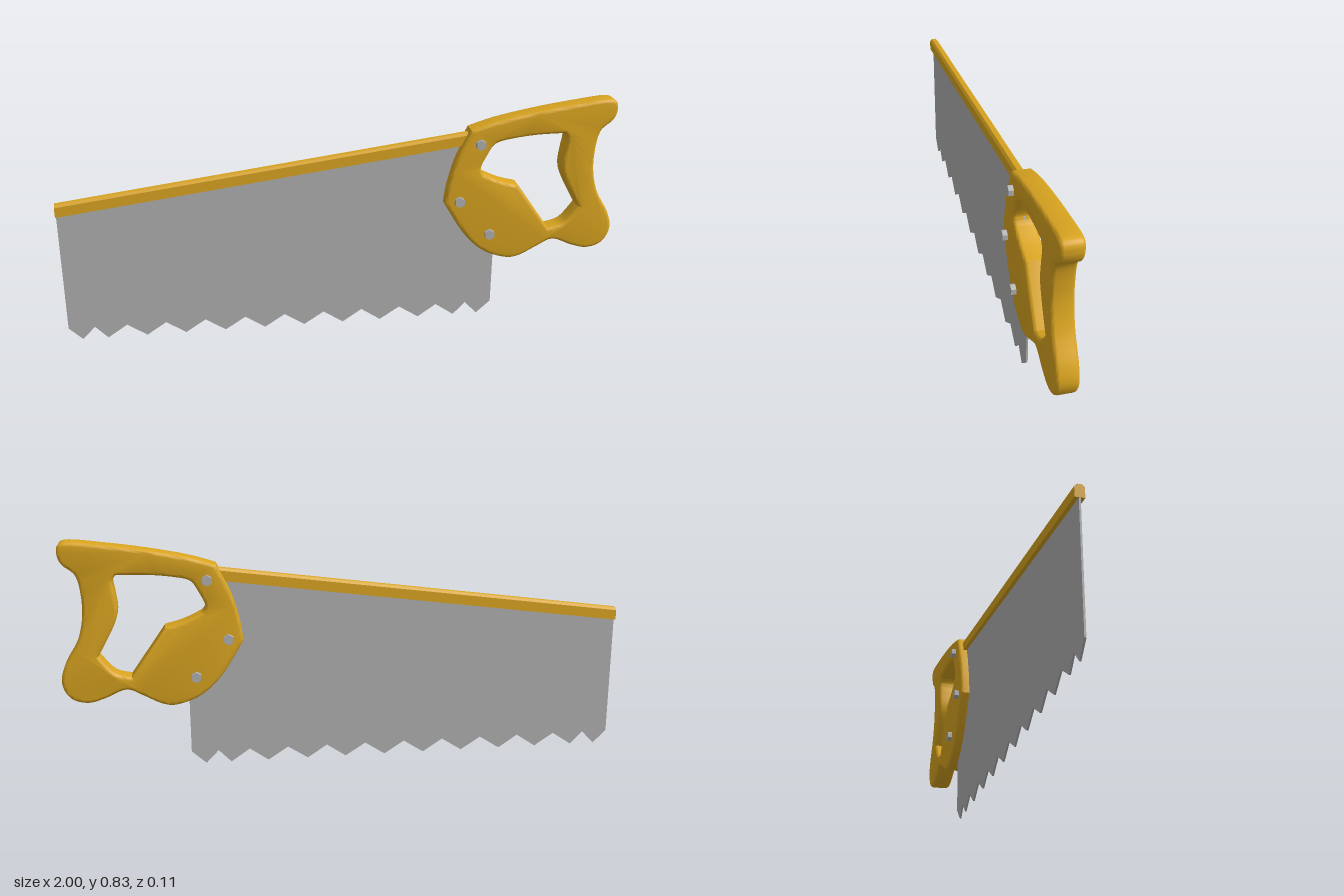
import * as THREE from 'three';
import { toCreasedNormals } from 'three/addons/utils/BufferGeometryUtils.js';

// Closed outline from smooth runs; the ends of each run are sharp corners.
function outline(path, runs) {
  path.moveTo(...runs[0][0]);
  for (const run of runs) {
    if (run.length === 2) path.lineTo(...run[1]);
    else path.splineThru(run.slice(1).map(([x, y]) => new THREE.Vector2(x, y)));
  }
  return path;
}

export function createModel() {
  const group = new THREE.Group();
  const golden = new THREE.MeshStandardMaterial({ name: 'golden wood', color: 0xdaa520 });
  const steel = new THREE.MeshStandardMaterial({ name: 'grey steel', color: 0xb0b0b0 });
  const add = (name, geometry, material) => {
    const mesh = new THREE.Mesh(geometry, material);
    mesh.name = name;
    group.add(mesh);
    return mesh;
  };

  // Blade: thin plate with finer teeth at both ends
  const tips = [-0.95, -0.86, -0.72, -0.58, -0.435, -0.29, -0.145, 0, 0.14, 0.285, 0.42, 0.51];
  const blade = new THREE.Shape();
  blade.moveTo(-0.998, 0.5);
  blade.lineTo(-0.998, 0.05);
  tips.forEach((x, i) => {
    blade.lineTo(x, 0.003);
    blade.lineTo(i < tips.length - 1 ? (x + tips[i + 1]) / 2 : 0.562, 0.05);
  });
  blade.lineTo(0.562, 0.4);
  blade.lineTo(0.46, 0.69);
  const bladeGeo = new THREE.ExtrudeGeometry(blade, { depth: 0.006, bevelEnabled: false });
  bladeGeo.translate(0, -0.003, -0.003);
  add('blade', bladeGeo, steel);

  // Spine: bevelled strip along the sloping back of the blade
  const section = new THREE.Shape([
    [-0.016, 0], [0.016, 0], [0.016, 0.036], [0.008, 0.045], [-0.008, 0.045], [-0.016, 0.036],
  ].map(([z, y]) => new THREE.Vector2(z, y)));
  const spineGeo = new THREE.ExtrudeGeometry(section, { depth: 1.45, bevelEnabled: false });
  spineGeo.rotateY(Math.PI / 2);
  const pos = spineGeo.attributes.position;
  for (let i = 0; i < pos.count; i++) pos.setY(i, pos.getY(i) + 0.486 + pos.getX(i) * 0.134);
  spineGeo.translate(-1, 0, 0);
  spineGeo.computeVertexNormals();
  add('spine', spineGeo, golden);

  // Handle: closed grip with rounded edges and a finger hole
  const handle = outline(new THREE.Shape(), [
    [[0.365, 0.465], [0.376, 0.54], [0.405, 0.64], [0.452, 0.738]],
    [[0.452, 0.738], [0.55, 0.768], [0.7, 0.798], [0.85, 0.82], [0.94, 0.83], [0.975, 0.822],
      [0.982, 0.79], [0.968, 0.753], [0.928, 0.718], [0.913, 0.66], [0.912, 0.57], [0.935, 0.48],
      [0.983, 0.395], [0.996, 0.33], [0.968, 0.277], [0.91, 0.259], [0.85, 0.274], [0.778, 0.302],
      [0.72, 0.277], [0.655, 0.244], [0.6, 0.239], [0.515, 0.272], [0.44, 0.345], [0.365, 0.465]],
  ]);
  handle.holes.push(outline(new THREE.Path(), [
    [[0.635, 0.522], [0.757, 0.348]],
    [[0.757, 0.348], [0.815, 0.366], [0.866, 0.427]],
    [[0.866, 0.427], [0.81, 0.53], [0.793, 0.585], [0.798, 0.645], [0.804, 0.69], [0.792, 0.712]],
    [[0.792, 0.712], [0.69, 0.71], [0.6, 0.7], [0.543, 0.685], [0.515, 0.645], [0.493, 0.595], [0.505, 0.57]],
    [[0.505, 0.57], [0.57, 0.54], [0.635, 0.522]],
  ]));
  const bevel = 0.012;
  const handleGeo = new THREE.ExtrudeGeometry(handle, {
    depth: 0.074 - 2 * bevel, curveSegments: 4, bevelThickness: bevel, bevelSize: bevel,
    bevelOffset: -bevel, bevelSegments: 3,
  });
  handleGeo.translate(0, 0, -0.037 + bevel);
  add('handle', toCreasedNormals(handleGeo, 0.65), golden);

  // Hexagonal bolts through the handle
  for (const [x, y] of [[0.485, 0.688], [0.417, 0.475], [0.533, 0.342]]) {
    const boltGeo = toCreasedNormals(new THREE.CylinderGeometry(0.019, 0.019, 0.108, 6), 0.3);
    boltGeo.rotateX(Math.PI / 2);
    add('bolt', boltGeo, steel).position.set(x, y, 0);
  }

  return group;
}
